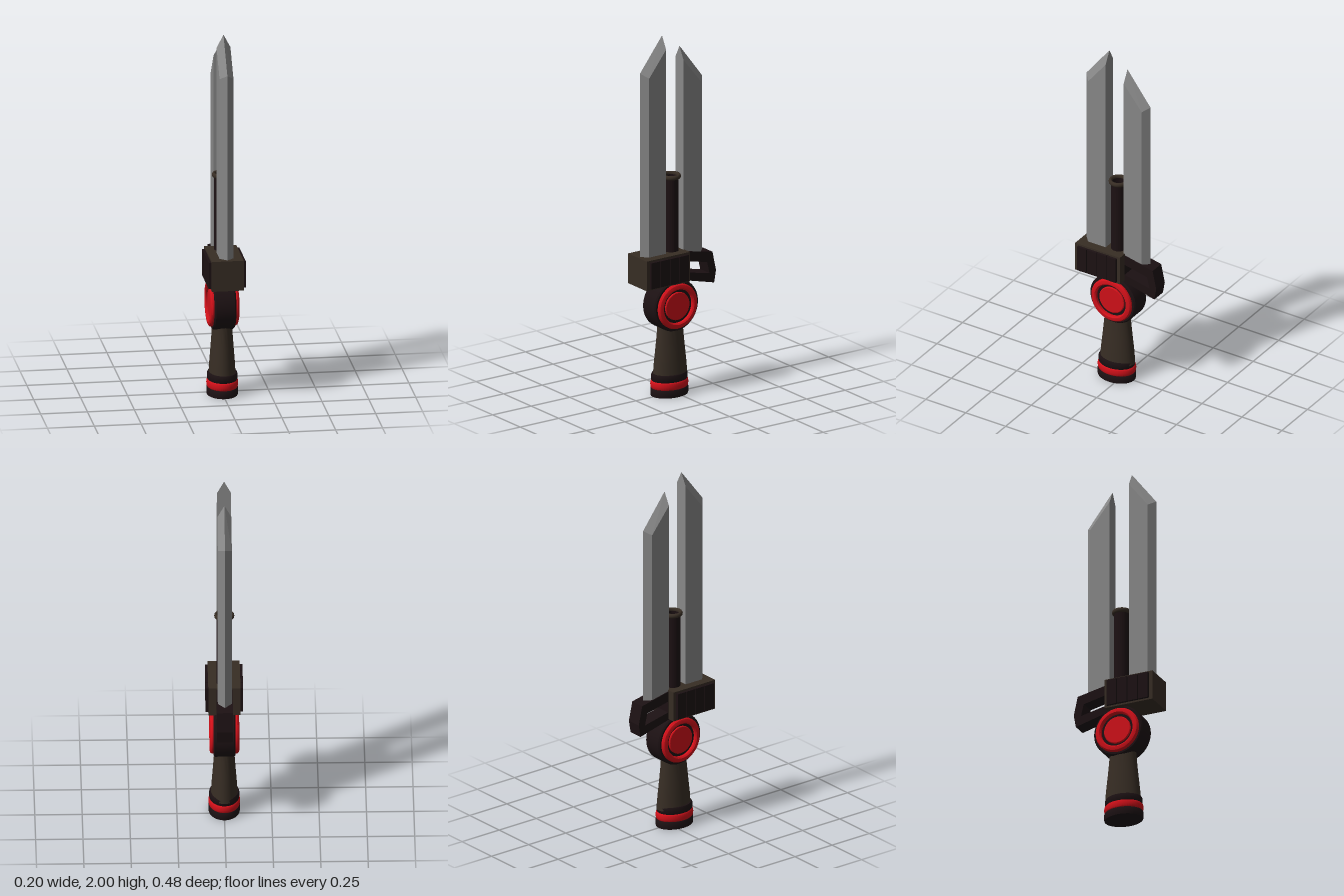
import * as THREE from 'three';
import { toCreasedNormals } from 'three/addons/utils/BufferGeometryUtils.js';
import { ConvexGeometry } from 'three/addons/geometries/ConvexGeometry.js';

const mat = (color) => new THREE.MeshStandardMaterial({ color });

export function createModel() {
  const model = new THREE.Group();
  const steel = mat(0x888888), dark = mat(0x1c1113), brown = mat(0x372d24), red = mat(0xd01019);

  function add(name, geometry, material, x = 0, y = 0, z = 0) {
    const mesh = new THREE.Mesh(geometry, material);
    mesh.name = name;
    mesh.position.set(x, y, z);
    model.add(mesh);
    return mesh;
  }

  // Profile is listed as [radius, height], going up the outside
  function turned(profile) {
    const points = profile.map(([r, h]) => new THREE.Vector2(r, h));
    return toCreasedNormals(new THREE.LatheGeometry(points, 48), 0.6);
  }

  // Single-edged blade: flat inner side, bevelled outer edge and slanted tip
  function blade(name, base, inner, shoulder, edge, innerY, shoulderY, tipY, edgeY) {
    const w = 0.037;
    const points = [
      new THREE.Vector3(0, base, edge),
      new THREE.Vector3(0, edgeY, edge),
      new THREE.Vector3(0, tipY, inner),
    ];
    for (const x of [-w, w]) {
      points.push(
        new THREE.Vector3(x, base, inner), new THREE.Vector3(x, base, shoulder),
        new THREE.Vector3(x, innerY, inner), new THREE.Vector3(x, shoulderY, shoulder));
    }
    add(name, new ConvexGeometry(points), steel);
  }
  blade('frontBlade', 0.76, 0.08, 0.19, 0.223, 1.93, 1.79, 2.0, 1.815);
  blade('rearBlade', 0.74, -0.033, -0.146, -0.178, 1.85, 1.71, 1.92, 1.73);

  // Guard block with ribbed side plates
  add('guardBlock', new THREE.BoxGeometry(0.17, 0.165, 0.28), brown, 0, 0.7125, 0.1);
  for (const side of [-1, 1]) {
    for (let i = 0; i < 4; i++) {
      add('guardRib', new THREE.BoxGeometry(0.02, 0.145, 0.058), dark,
        side * 0.089, 0.7125, 0.191 - i * 0.0615);
    }
  }

  // Hollow barrel between the blades, with a rolled lip
  add('barrel', turned([
    [0.041, 0.78], [0.041, 1.205], [0.034, 1.205], [0.034, 0.78],
  ]), dark, 0, 0, 0.022);
  const lip = add('barrelLip', new THREE.TorusGeometry(0.0435, 0.0095, 12, 48), brown, 0, 1.208, 0.022);
  lip.rotation.x = Math.PI / 2;
  lip.scale.z = 1.35;

  // Slanted open frame behind the guard, drawn in (z, y) and extruded along x
  const outline = (pts) => pts.map(([z, y]) => new THREE.Vector2(-z, y));
  const frame = new THREE.Shape(outline([
    [-0.03, 0.788], [-0.217, 0.75], [-0.24, 0.645], [-0.228, 0.577], [-0.03, 0.628],
  ]));
  frame.holes.push(new THREE.Path(outline([
    [-0.042, 0.73], [-0.042, 0.668], [-0.198, 0.635], [-0.182, 0.7],
  ])));
  const frameGeometry = new THREE.ExtrudeGeometry(frame, { depth: 0.084, bevelEnabled: false });
  frameGeometry.translate(0, 0, -0.042).rotateY(Math.PI / 2);
  add('rearFrame', frameGeometry, dark);

  // Round hub with a red ring and button on each side
  const hub = new THREE.Group();
  hub.name = 'hub';
  hub.position.set(0, 0.5, 0.025);
  model.add(hub);
  const core = add('hubCore', turned([
    [0, -0.058], [0.135, -0.058], [0.142, -0.05], [0.142, 0.05], [0.135, 0.058], [0, 0.058],
  ]), dark);
  core.rotation.z = Math.PI / 2;
  hub.add(core);
  for (const side of [-1, 1]) {
    const ring = add('hubRing', turned([
      [0.125, 0.05], [0.125, 0.067], [0.119, 0.075], [0.11, 0.078],
      [0.1, 0.078], [0.093, 0.072], [0.093, 0.05],
    ]), red);
    const button = add('hubButton', turned([
      [0.077, 0.05], [0.077, 0.064], [0.073, 0.067], [0, 0.067],
    ]), red);
    for (const part of [ring, button]) {
      part.rotation.z = side * Math.PI / 2;
      hub.add(part);
    }
  }

  // Oval grip, widening towards the pommel
  const grip = add('grip', turned([
    [0.1, 0.1], [0.095, 0.17], [0.085, 0.26], [0.077, 0.34], [0.074, 0.4],
  ]), brown, 0, 0, 0.028);
  grip.scale.x = 0.71;

  // Oval pommel in three bands
  const bands = [
    ['pommelBase', dark, [[0, 0], [0.106, 0], [0.108, 0.006], [0.108, 0.036], [0.104, 0.042], [0, 0.042]]],
    ['pommelBand', red, [[0.1, 0.04], [0.106, 0.046], [0.109, 0.062], [0.106, 0.078], [0.1, 0.084]]],
    ['pommelCollar', dark, [[0, 0.082], [0.1, 0.082], [0.103, 0.087], [0.103, 0.115], [0.099, 0.122], [0, 0.122]]],
  ];
  for (const [name, material, profile] of bands) {
    add(name, turned(profile), material, 0, 0, 0.033).scale.x = 0.77;
  }
  return model;
}
